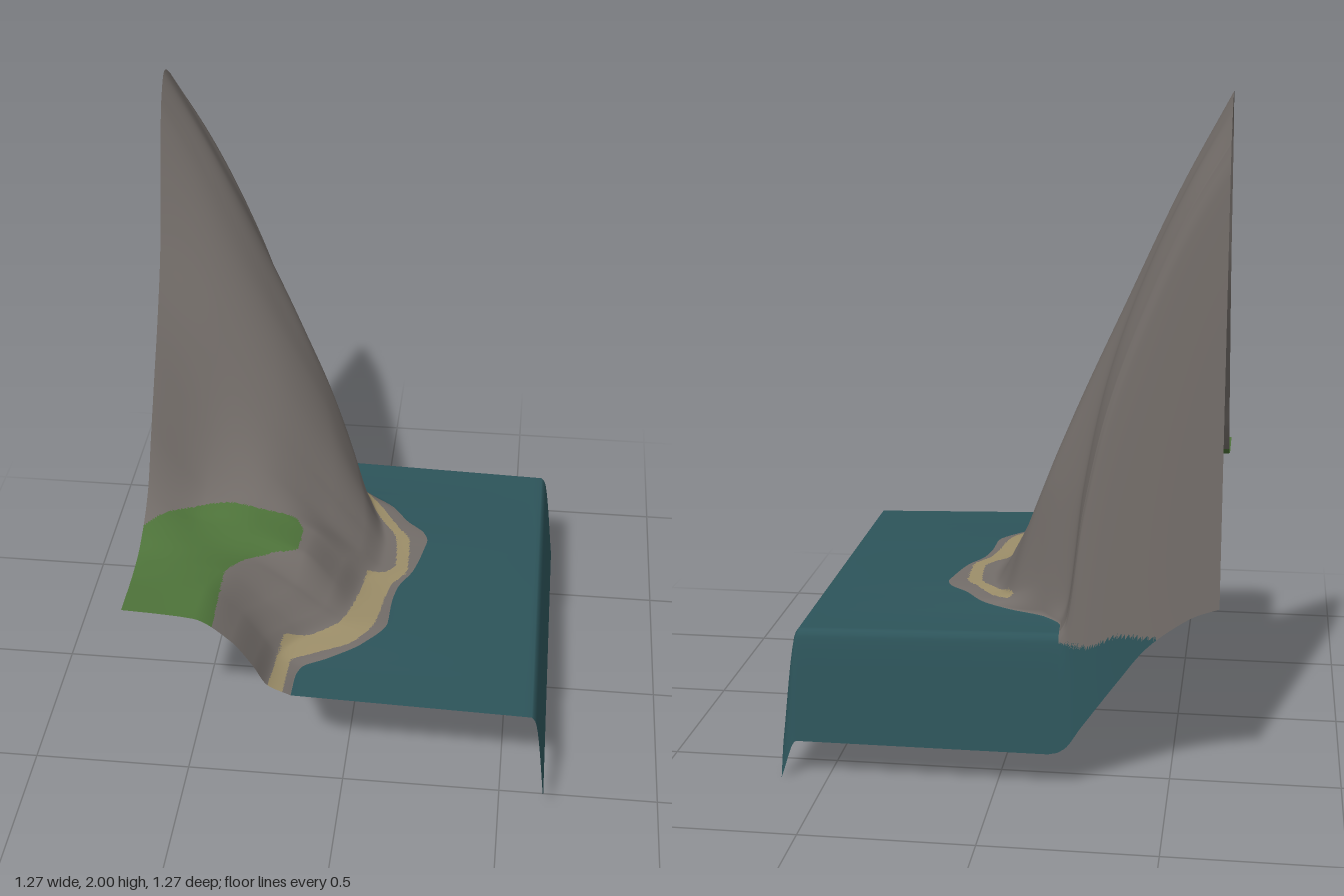
import * as THREE from 'three';

const HALF = 0.637;   // half the width of the square tile
const RIM = 0.585;    // where the tile starts to fall away at its edges
const SHORE = 0.47;   // height of the waterline

// Smooth curve through [x, y] points that never overshoots them
function curve(points) {
  const n = points.length;
  const slope = [];
  for (let i = 0; i < n - 1; i++) {
    slope.push((points[i + 1][1] - points[i][1]) / (points[i + 1][0] - points[i][0]));
  }
  const tangent = points.map((p, i) => {
    if (i === 0) return slope[0];
    if (i === n - 1) return slope[n - 2];
    const a = slope[i - 1], b = slope[i];
    return a * b <= 0 ? 0 : (2 * a * b) / (a + b);
  });
  return (x) => {
    if (x <= points[0][0]) return points[0][1];
    if (x >= points[n - 1][0]) return points[n - 1][1];
    let i = 0;
    while (x > points[i + 1][0]) i++;
    const w = points[i + 1][0] - points[i][0];
    const t = (x - points[i][0]) / w;
    const u = 1 - t;
    return points[i][1] * (1 + 2 * t) * u * u + points[i + 1][1] * t * t * (3 - 2 * t)
      + w * (tangent[i] * t * u * u - tangent[i + 1] * t * t * u);
  };
}

// Coastline: x of the waterline for each z
const coast = curve([[-0.6, -0.18], [-0.52, -0.175], [-0.45, -0.12], [-0.4, -0.01], [-0.34, 0.08],
  [-0.26, 0.14], [-0.2, 0.2], [-0.16, 0.213], [-0.12, 0.207], [0, 0.18], [0.1, 0.135], [0.18, 0.123],
  [0.27, 0.12], [0.38, 0.05], [0.46, -0.05], [0.51, -0.125], [0.56, -0.138], [HALF, -0.14]]);

// Cross-sections: z, x of the cliff foot, then heights from the inland edge
// to the foot at these fractions of the way
const steps = [0, 0.25, 0.5, 0.75, 0.9, 1];
const sections = [
  [-0.59, -0.2, 1.87, 1.68, 1.43, 1.12, 0.82, 0.51],
  [-0.5, -0.195, 1.96, 1.76, 1.52, 1.20, 0.88, 0.53],
  [-0.42, -0.09, 2.00, 1.74, 1.44, 1.12, 0.87, 0.54],
  [-0.35, 0, 1.93, 1.63, 1.31, 0.97, 0.72, 0.50],
  [-0.28, 0.035, 1.73, 1.50, 1.22, 0.89, 0.65, 0.487],
  [-0.2, 0.065, 1.50, 1.32, 1.09, 0.79, 0.60, 0.482],
  [-0.1, 0.08, 1.32, 1.11, 0.92, 0.68, 0.55, 0.48],
  [0, 0.075, 1.17, 0.95, 0.82, 0.64, 0.54, 0.482],
  [0.1, 0.03, 1.02, 0.83, 0.76, 0.68, 0.57, 0.49],
  [0.2, 0.01, 0.87, 0.77, 0.74, 0.68, 0.57, 0.495],
  [0.3, -0.02, 0.80, 0.76, 0.72, 0.62, 0.54, 0.497],
  [0.4, -0.125, 0.765, 0.757, 0.74, 0.63, 0.55, 0.5],
  [0.5, -0.195, 0.757, 0.755, 0.75, 0.66, 0.565, 0.5],
  [HALF, -0.21, 0.76, 0.755, 0.745, 0.67, 0.58, 0.505],
];
const column = (k) => curve(sections.map((s) => [s[0], s[k]]));
const cliffFoot = column(1);
const heights = steps.map((_, k) => column(k + 2));

// Falling edges: share of the drop, and the lower border of the back edge
const fall = curve([[RIM, 0], [0.597, 0.05], [0.605, 0.16], [HALF, 1]]);
const backBorder = curve([[-HALF, 0.58], [-0.57, 0.555], [-0.5, 0.51], [-0.43, 0.45], [-0.35, 0.345],
  [-0.25, 0.205], [-0.2, 0.135], [-0.16, 0.117], [0.59, 0.117], [HALF, 0]]);

// Painted zones: left and right x limits for each z
const sandInner = curve([[-0.37, -0.02], [-0.25, 0.05], [-0.15, 0.11], [-0.02, 0.12], [0.03, 0.09],
  [0.05, 0.035], [0.15, 0.02], [0.3, -0.02], [0.38, -0.1], [0.44, -0.19], [HALF, -0.21]]);
const sandOuter = curve([[-0.37, 0], [-0.3, 0.06], [-0.22, 0.11], [-0.15, 0.155], [0, 0.16],
  [0.1, 0.11], [0.28, 0.08], [0.38, 0.02], [0.45, -0.09], [0.5, -0.16], [HALF, -0.165]]);
const grassLeft = curve([[0.08, -0.21], [0.1, -0.3], [0.115, -0.4], [0.2, -0.55], [0.3, -0.65]]);
const grassRight = curve([[0.08, -0.19], [0.12, -0.165], [0.2, -0.17], [0.25, -0.25],
  [0.32, -0.33], [0.42, -0.37], [HALF, -0.37]]);

// Grid counts: the steep back edge needs many rows for a clean waterline
const LAND = 130, SEA = 30, SIDE = 10, ROWS = 190, BACK = 80;
const COLS = LAND + SEA + SIDE;

function buildTerrain() {
  const positions = [];
  const zones = { cliff: [], meadow: [], beach: [], sea: [] };

  for (let i = 0; i <= ROWS + BACK; i++) {
    const z = i <= BACK
      ? -HALF + (HALF - RIM) * i / BACK
      : -RIM + (HALF + RIM) * (i - BACK) / ROWS;
    const shoreX = coast(z);
    const footWidth = cliffFoot(z) + HALF;
    const profile = curve([
      ...steps.map((t, k) => [-HALF + footWidth * t, heights[k](z)]),
      [shoreX, SHORE],
    ]);
    const drop = fall(-z);
    for (let j = 0; j <= COLS; j++) {
      let x, y;
      if (j <= LAND) {
        // Land
        x = -HALF + (shoreX + HALF) * j / LAND;
        y = profile(x);
      } else {
        // Sea, bending down at the outer edge
        x = j <= LAND + SEA
          ? shoreX + (RIM - shoreX) * (j - LAND) / SEA
          : RIM + (HALF - RIM) * (j - LAND - SEA) / SIDE;
        y = SHORE - 0.02 * Math.min(1, (x - shoreX) / (RIM - shoreX));
        y += (0.117 - y) * fall(x);
      }
      positions.push(x, y + (backBorder(x) - y) * drop, z);
    }
  }

  // Sort each triangle into its colour zone
  const addTriangle = (a, b, c, col) => {
    const mean = (k) => (positions[a * 3 + k] + positions[b * 3 + k] + positions[c * 3 + k]) / 3;
    const x = mean(0), y = mean(1), z = mean(2);
    const waterline = z < -RIM ? SHORE + 0.015 - 0.04 * THREE.MathUtils.smoothstep(x, -0.36, -0.26) : SHORE;
    let zone = 'cliff';
    if (col >= LAND || y < waterline) zone = 'sea';
    else if (z > -0.37 && x > sandInner(z) && x < sandOuter(z)) zone = 'beach';
    else if (z > 0.08 && x > grassLeft(z) && x < grassRight(z)) zone = 'meadow';
    zones[zone].push(a, b, c);
  };
  for (let i = 0; i < ROWS + BACK; i++) {
    for (let j = 0; j < COLS; j++) {
      const a = i * (COLS + 1) + j, b = a + 1, c = a + COLS + 1, d = c + 1;
      addTriangle(a, c, b, j);
      addTriangle(b, c, d, j);
    }
  }

  // Shared smooth normals keep the zones seamless
  const whole = new THREE.BufferGeometry();
  whole.setAttribute('position', new THREE.Float32BufferAttribute(positions, 3));
  whole.setIndex(Object.values(zones).flat());
  whole.computeVertexNormals();
  return { whole, zones };
}

export function createModel() {
  const group = new THREE.Group();
  group.name = 'coastalTerrain';
  const { whole, zones } = buildTerrain();
  const colours = {
    cliff: ['rockGrey', 0x736d69],
    meadow: ['grassGreen', 0x4e733a],
    beach: ['sandTan', 0x9c8e69],
    sea: ['seaTeal', 0x2d545a],
  };
  for (const [zone, [name, color]] of Object.entries(colours)) {
    const geometry = new THREE.BufferGeometry();
    geometry.setAttribute('position', whole.getAttribute('position'));
    geometry.setAttribute('normal', whole.getAttribute('normal'));
    geometry.setIndex(zones[zone]);
    const material = new THREE.MeshStandardMaterial({ color, side: THREE.DoubleSide });
    material.name = name;
    const mesh = new THREE.Mesh(geometry, material);
    mesh.name = zone;
    group.add(mesh);
  }
  return group;
}
